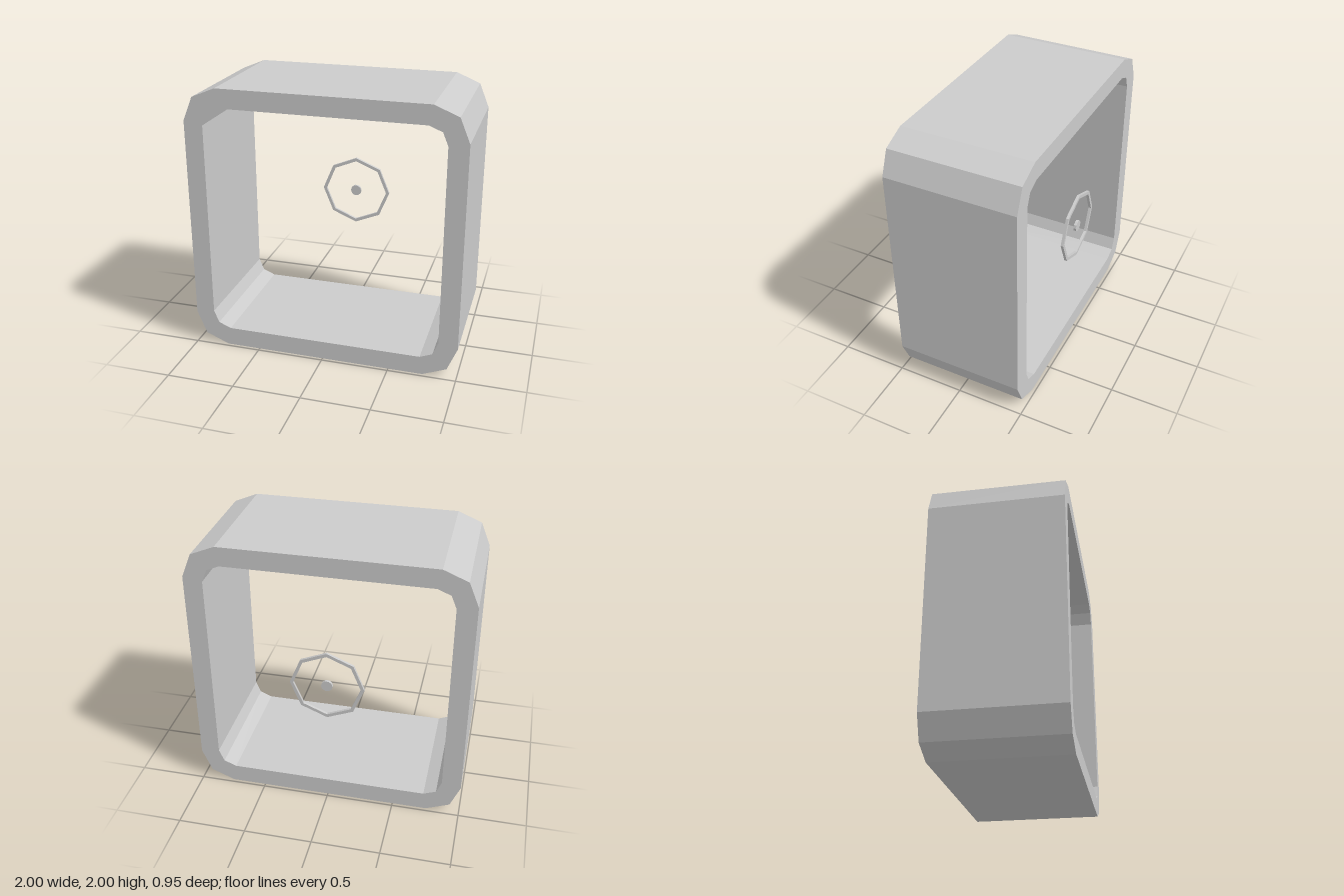
import * as THREE from 'three';

const material = new THREE.MeshStandardMaterial({ color: 0xcccccc, flatShading: true });

// Square outline with each corner cut into two facets
function roundedSquare(half, radius) {
  const points = [];
  const c = half - radius;
  for (let corner = 0; corner < 4; corner++) {
    const start = corner * Math.PI / 2;
    const cx = c * Math.SQRT2 * Math.cos(start + Math.PI / 4);
    const cy = c * Math.SQRT2 * Math.sin(start + Math.PI / 4);
    for (let i = 0; i <= 2; i++) {
      const a = start + i * Math.PI / 4;
      points.push(new THREE.Vector2(cx + radius * Math.cos(a), cy + radius * Math.sin(a)));
    }
  }
  return points;
}

function polygon(radius, sides) {
  return Array.from({ length: sides }, (_, i) => {
    const a = i / sides * Math.PI * 2;
    return new THREE.Vector2(radius * Math.cos(a), radius * Math.sin(a));
  });
}

// Plate of the given depth, starting at the back plane, with an optional hole
function plate(name, outer, inner, depth) {
  const shape = new THREE.Shape(outer);
  if (inner) shape.holes.push(new THREE.Path(inner));
  const geometry = new THREE.ExtrudeGeometry(shape, { depth, bevelEnabled: false });
  const mesh = new THREE.Mesh(geometry, material);
  mesh.name = name;
  mesh.position.set(0, 1, -0.475);
  return mesh;
}

export function createModel() {
  const model = new THREE.Group();
  model.name = 'squareFrameWithDial';
  // Deep open frame
  model.add(plate('frame', roundedSquare(1, 0.245), roundedSquare(0.86, 0.13), 0.95));
  // Thin ring and centre disc, level with the frame's back
  model.add(plate('dialRing', polygon(0.27, 8), polygon(0.245, 8), 0.02));
  model.add(plate('dialCentre', polygon(0.042, 10), null, 0.02));
  return model;
}
